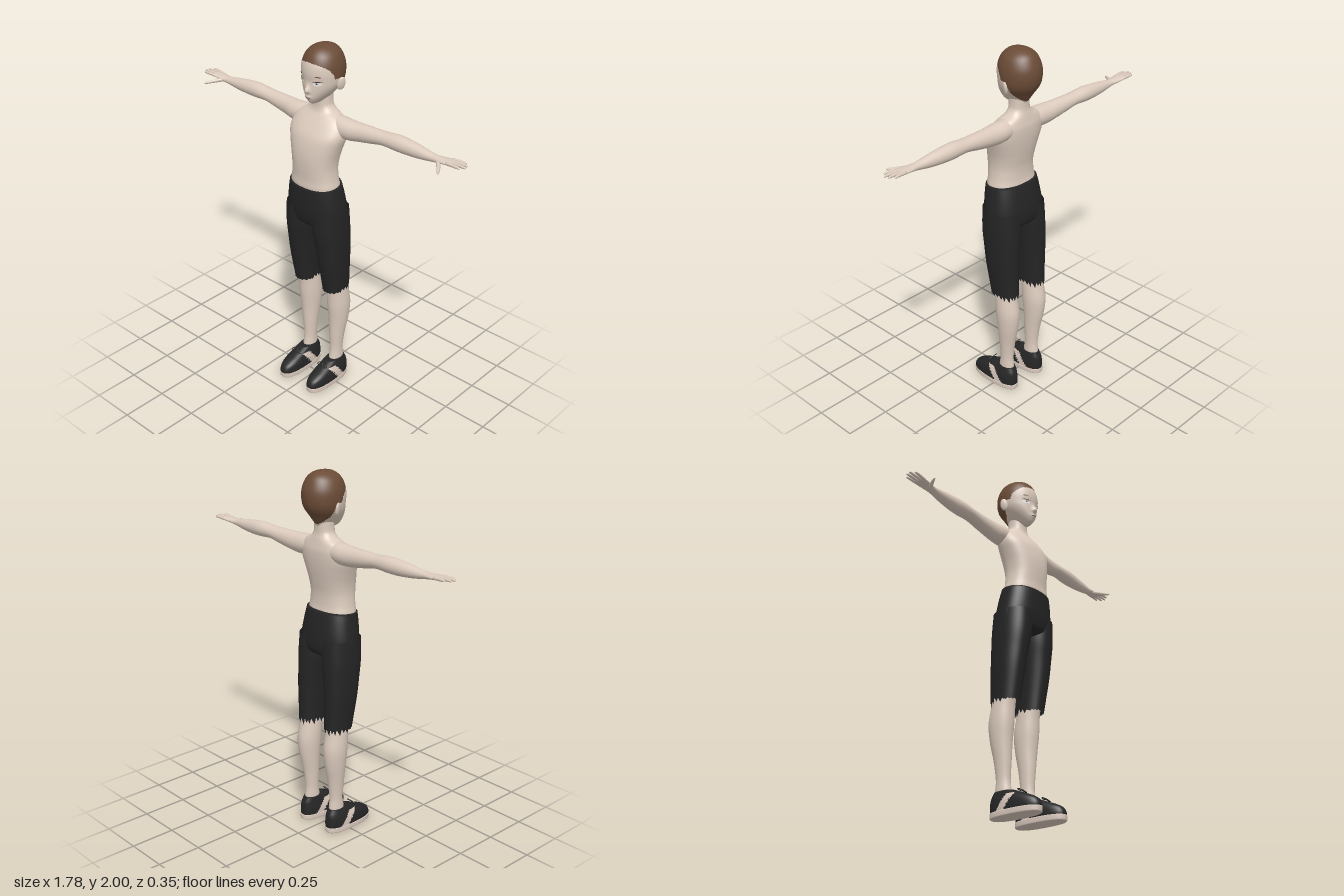
import * as THREE from 'three';

const mat = (name, color, side = THREE.FrontSide) =>
  Object.assign(new THREE.MeshStandardMaterial({ color, side }), { name });

// Smooth (Catmull-Rom) blend between b and c
const blend = (a, b, c, d, t) => {
  const k2 = 2 * a - 5 * b + 4 * c - d, k3 = 3 * (b - c) + d - a;
  return b + 0.5 * t * (c - a + t * (k2 + t * k3));
};

// Smoothly subdivide a list of cross-sections
function refine(secs, sub) {
  const out = [], last = secs.length - 1;
  for (let i = 0; i < last; i++) {
    const a = secs[Math.max(i - 1, 0)], b = secs[i], c = secs[i + 1], d = secs[Math.min(i + 2, last)];
    for (let k = 0; k < sub; k++) out.push(b.map((v, j) => blend(a[j], v, c[j], d[j], k / sub)));
  }
  out.push(secs[last]);
  return out;
}

// Skin a closed tube over cross-sections.
// axis y: [y, centreX, halfWidth, zFront, zBack]   axis x: [x, centreY, centreZ, halfHeight, halfDepth]
function loft(secs, { axis = 'y', n = 32, sub = 4, e = 2, cap = true, shape, pick } = {}) {
  const rings = refine(secs, sub), pos = [], tris = [];
  const sc = (v) => Math.sign(v) * Math.pow(Math.abs(v), 2 / e);
  const flip = (axis === 'y') === (rings[rings.length - 1][0] > rings[0][0]);
  const tri = (a, b, c) => tris.push(flip ? [a, c, b] : [a, b, c]);
  rings.forEach((s, r) => {
    for (let i = 0; i < n; i++) {
      const t = (i / n) * Math.PI * 2, C = sc(Math.cos(t)), S = sc(Math.sin(t));
      const p = axis === 'y'
        ? new THREE.Vector3(s[1] + s[2] * C, s[0], (s[3] + s[4]) / 2 + (s[3] - s[4]) / 2 * S)
        : new THREE.Vector3(s[0], s[1] + s[3] * C, s[2] + s[4] * S);
      if (shape) shape(p, i, r, rings.length);
      pos.push(p.x, p.y, p.z);
    }
  });
  for (let r = 0; r < rings.length - 1; r++) for (let i = 0; i < n; i++) {
    const a = r * n + i, b = r * n + (i + 1) % n;
    tri(a, b, a + n);
    tri(b, b + n, a + n);
  }
  if (cap) [0, rings.length - 1].forEach((r, end) => {
    const s = rings[r], m = pos.length / 3;
    if (axis === 'y') pos.push(s[1], s[0], (s[3] + s[4]) / 2);
    else pos.push(s[0], s[1], s[2]);
    for (let i = 0; i < n; i++) {
      const a = r * n + i, b = r * n + (i + 1) % n;
      if (end) tri(a, b, m);
      else tri(b, a, m);
    }
  });
  const g = new THREE.BufferGeometry();
  g.setAttribute('position', new THREE.Float32BufferAttribute(pos, 3));
  if (pick) { // sort faces into two material groups
    const parts = [[], []];
    for (const t of tris) {
      const c = [0, 1, 2].map((k) => (pos[t[0] * 3 + k] + pos[t[1] * 3 + k] + pos[t[2] * 3 + k]) / 3);
      parts[pick(...c) ? 1 : 0].push(...t);
    }
    g.setIndex([...parts[0], ...parts[1]]);
    g.addGroup(0, parts[0].length, 0);
    g.addGroup(parts[0].length, parts[1].length, 1);
  } else g.setIndex(tris.flat());
  g.computeVertexNormals();
  return g;
}

const HEAD = [
  [2.0, 0, 0.004, -0.048, -0.056], [1.993, 0, 0.038, -0.005, -0.1], [1.976, 0, 0.067, 0.025, -0.132],
  [1.95, 0, 0.089, 0.047, -0.152], [1.91, 0, 0.104, 0.063, -0.168], [1.87, 0, 0.108, 0.067, -0.172],
  [1.83, 0, 0.105, 0.063, -0.166], [1.8, 0, 0.096, 0.064, -0.153], [1.77, 0, 0.078, 0.065, -0.132],
  [1.74, 0, 0.054, 0.063, -0.113], [1.717, 0, 0.033, 0.052, -0.095], [1.705, 0, 0.016, 0.036, -0.06],
];
const gauss = (v, w) => Math.exp(-(v * v) / (w * w));
const nose = (x, y) => 0.021 * gauss(x, 0.013) * gauss(y - 1.783, y > 1.783 ? 0.025 : 0.012)
  + 0.005 * gauss(x, 0.02) * gauss(y - 1.748, 0.01);
const headRings = refine(HEAD, 12);
function faceZ(x, y) {
  const s = headRings.reduce((m, r) => (Math.abs(r[0] - y) < Math.abs(m[0] - y) ? r : m));
  const across = Math.sqrt(Math.max(0, 1 - (x * x) / (s[2] * s[2])));
  return (s[3] + s[4]) / 2 + (s[3] - s[4]) / 2 * across + nose(x, y);
}
// Height of the hairline at depth z
function hairline(z) {
  if (z > -0.02) return 1.845 + 0.085 * Math.sqrt(Math.min(1, (z + 0.02) / 0.08));
  if (z > -0.06) return 1.845;
  if (z > -0.075) return 1.845 + (z + 0.06) * 5;
  return Math.max(1.73, 1.77 + (z + 0.075) * 1.4);
}

export function createModel() {
  const skin = mat('skin', 0xdccbbd), hair = mat('hair', 0x6b4c37);
  const cloth = mat('shortsCloth', 0x242424, THREE.DoubleSide), leather = mat('shoeLeather', 0x262626);
  const trim = mat('shoeTrim', 0xd9c8bc), white = mat('eyeWhite', 0xf2f2f2), dark = mat('faceLines', 0x4a332a);
  const model = new THREE.Group();
  const add = (name, geo, m, parent = model) => {
    const mesh = new THREE.Mesh(geo, m);
    mesh.name = name;
    parent.add(mesh);
    return mesh;
  };

  // Head with cropped hair
  add('head', loft(HEAD, {
    n: 96, sub: 8, shape: (p) => { if (p.z > 0) p.z += nose(p.x, p.y); },
    pick: (x, y, z) => y > hairline(z),
  }), [skin, hair]);

  // Painted face details laid on the curve of the face
  const decal = (name, x, y, rx, ry, m, lift, tilt = 0) => {
    const g = new THREE.CircleGeometry(1, 20).scale(rx, ry, 1).rotateZ(tilt).translate(x, y, 0);
    const p = g.attributes.position;
    for (let i = 0; i < p.count; i++) p.setZ(i, faceZ(p.getX(i), p.getY(i)) + lift);
    g.computeVertexNormals();
    add(name, g, m);
  };
  decal('mouth', 0, 1.746, 0.018, 0.0018, dark, 0.003);
  for (const s of [1, -1]) {
    decal('eye', s * 0.05, 1.826, 0.021, 0.011, white, 0.002, s * 0.08);
    decal('iris', s * 0.049, 1.827, 0.004, 0.005, dark, 0.004);
    decal('upperLash', s * 0.051, 1.837, 0.022, 0.0025, dark, 0.004, s * 0.08);
    decal('eyebrow', s * 0.056, 1.863, 0.014, 0.0028, hair, 0.003, s * -0.12);
    const ear = add('ear', new THREE.SphereGeometry(1, 20, 14).scale(0.01, 0.036, 0.022), skin);
    ear.position.set(s * 0.112, 1.815, -0.06);
    ear.rotation.set(-0.15, s * -0.45, s * -0.22);
  }

  // Torso, shoulders and neck
  add('torso', loft([
    [1.22, 0, 0.14, 0.098, -0.09], [1.26, 0, 0.141, 0.103, -0.09], [1.3, 0, 0.133, 0.102, -0.085],
    [1.36, 0, 0.128, 0.106, -0.086], [1.42, 0, 0.135, 0.107, -0.096], [1.48, 0, 0.151, 0.1, -0.107],
    [1.54, 0, 0.168, 0.083, -0.115], [1.59, 0, 0.163, 0.052, -0.117], [1.62, 0, 0.145, 0.03, -0.112],
    [1.64, 0, 0.115, 0.015, -0.108], [1.655, 0, 0.083, 0.006, -0.105], [1.675, 0, 0.061, 0.001, -0.1],
    [1.7, 0, 0.052, 0, -0.098], [1.77, 0, 0.05, 0, -0.1],
  ], { n: 48, e: 2.3 }), skin);

  // Shorts: hips, then a ragged leg on each side
  add('shortsHips', loft([
    [1.26, 0, 0.149, 0.11, -0.1], [1.2, 0, 0.161, 0.112, -0.115], [1.12, 0, 0.173, 0.11, -0.127],
    [1.06, 0, 0.175, 0.1, -0.126], [1.03, 0, 0.165, 0.085, -0.11], [1.012, 0, 0.11, 0.045, -0.075],
  ], { n: 48, e: 2.3, shape: (p, i, r) => { if (r < 4) p.y -= 0.07 * p.z * (1 - r / 4); } }), cloth);

  const zigzag = [0, 0.022, -0.014, 0.012, -0.006, 0.026, -0.018];
  for (const s of [1, -1]) {
    const mx = (rows) => rows.map(([y, cx, ...rest]) => [y, s * cx, ...rest]);
    add('shortsLeg', loft(mx([
      [1.12, 0.088, 0.084, 0.102, -0.122], [1.0, 0.094, 0.084, 0.099, -0.128], [0.9, 0.1, 0.077, 0.085, -0.128],
      [0.8, 0.104, 0.071, 0.07, -0.128], [0.7, 0.104, 0.064, 0.052, -0.128], [0.612, 0.103, 0.059, 0.036, -0.13],
    ]), {
      n: 48, e: 2.2, cap: false,
      shape: (p, i, r, count) => { if (r === count - 1) p.y += zigzag[i % 7] * (p.z < -0.03 ? 1 : 0.2); },
    }), cloth);

    add('lowerLeg', loft(mx([
      [0.72, 0.104, 0.05, 0.03, -0.11], [0.6, 0.105, 0.057, 0.008, -0.122], [0.5, 0.106, 0.06, 0.002, -0.139],
      [0.4, 0.105, 0.052, -0.008, -0.13], [0.3, 0.102, 0.041, -0.013, -0.11], [0.2, 0.1, 0.033, -0.018, -0.098],
      [0.14, 0.1, 0.034, -0.01, -0.103], [0.08, 0.1, 0.034, 0, -0.105],
    ])), skin);

    // Shoe: sole, upper with a slanted side panel, and a lace bow
    const shoe = new THREE.Group();
    shoe.name = 'shoe';
    model.add(shoe);
    add('sole', loft(mx([
      [0, 0.103, 0.053, 0.174, -0.125], [0.006, 0.103, 0.056, 0.178, -0.13], [0.03, 0.103, 0.056, 0.179, -0.13],
    ]), { n: 48, e: 2.5 }), trim, shoe);
    add('shoeUpper', loft(mx([
      [0.025, 0.103, 0.054, 0.176, -0.126], [0.045, 0.103, 0.055, 0.176, -0.128], [0.07, 0.103, 0.054, 0.162, -0.127],
      [0.09, 0.103, 0.05, 0.13, -0.125], [0.106, 0.102, 0.046, 0.092, -0.121], [0.12, 0.101, 0.042, 0.058, -0.114],
      [0.135, 0.1, 0.037, 0.02, -0.106],
    ]), {
      n: 80, sub: 6, e: 2.5,
      pick: (x, y, z) => y < 0.112 && Math.abs(x - s * 0.103) > 0.02 && Math.abs(z - 0.022 + (0.11 - y) * 0.75) < 0.025,
    }), [leather, trim], shoe);
    for (const k of [1, -1]) {
      const bow = add('laceLoop', new THREE.TorusGeometry(0.013, 0.0025, 6, 16).scale(1.3, 0.7, 1), leather, shoe);
      bow.position.set(s * 0.1 + k * 0.017, 0.128, 0.058);
      bow.rotation.set(-0.8, 0, k * -0.4);
    }

    // Arm held out to the side, running into the palm
    const limb = (name, rows, n) =>
      add(name, loft(rows.map(([x, ...rest]) => [s * x, ...rest]), { axis: 'x', n }), skin);
    limb('arm', [
      [0.07, 1.595, -0.05, 0.05, 0.05], [0.13, 1.59, -0.05, 0.055, 0.055], [0.19, 1.588, -0.05, 0.054, 0.053],
      [0.25, 1.592, -0.055, 0.049, 0.046], [0.32, 1.598, -0.058, 0.043, 0.042], [0.4, 1.606, -0.06, 0.036, 0.04],
      [0.48, 1.608, -0.062, 0.041, 0.042], [0.55, 1.606, -0.062, 0.039, 0.038], [0.63, 1.604, -0.06, 0.031, 0.031],
      [0.7, 1.604, -0.058, 0.02, 0.024], [0.74, 1.607, -0.058, 0.015, 0.029], [0.78, 1.611, -0.06, 0.012, 0.034],
      [0.815, 1.614, -0.061, 0.009, 0.033],
    ], 32);
    [[0.865, -0.087], [0.885, -0.07], [0.89, -0.052], [0.872, -0.034]].forEach(([tip, z], i) => {
      const spread = (i - 1.5) * 0.004;
      limb('finger', [
        [0.79, 1.613, z, 0.008, 0.008], [0.83, 1.616, z + spread / 2, 0.008, 0.008],
        [tip - 0.01, 1.616, z + spread, 0.006, 0.006], [tip, 1.615, z + spread, 0.002, 0.002],
      ], 12);
    });
    limb('thumb', [
      [0.725, 1.605, -0.055, 0.012, 0.014], [0.75, 1.6, -0.028, 0.011, 0.017], [0.775, 1.594, 0.004, 0.009, 0.015],
      [0.793, 1.59, 0.029, 0.007, 0.011], [0.801, 1.588, 0.041, 0.002, 0.003],
    ], 12);
  }
  return model;
}
